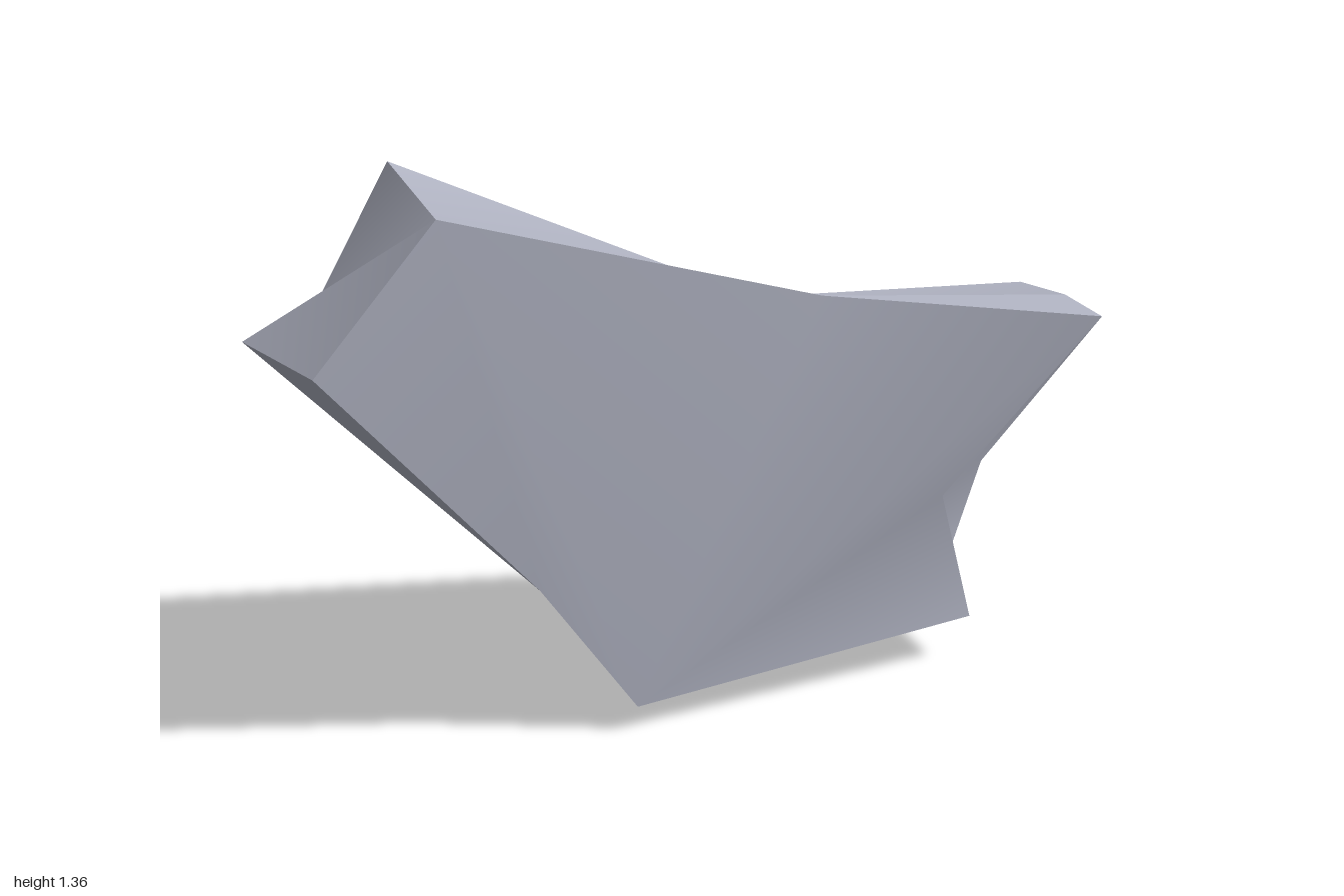
import * as THREE from 'three';

// Corners of the boulder: lower case is the front rim, upper case the rear rim
const corners = {
  a: [-0.61, 1.355, 0.36], b: [0.32, 1.065, 0.24], c: [1, 0.98, 0.345], d: [0.7, 0.475, 0.15],
  e: [0.79, 0.13, 0.16], f: [-0.14, 0.07, 0.26], g: [-0.38, 0.42, 0.27], h: [-0.89, 1.03, 0.37],
  A: [-0.61, 1.355, -0.185], B: [0.32, 0.925, -0.22], C: [1, 0.945, -0.075], D: [0.915, 0.46, -0.07],
  E: [0.79, 0.13, -0.035], Q: [0.12, 0, -0.155], N: [-0.34, 0.44, -0.07], J: [-0.83, 1.0, -0.12],
  P: [0.13, 0.405, -0.375], // rear bulge
  j: [-1, 1.03, 0.065], // left tip
  m: [1, 0.98, 0.16], // chip on the top right edge
  r: [0.06, 0, 0.065], // foot
};

const stone = new THREE.MeshStandardMaterial({ color: 0xb2b5c4 });
stone.name = 'blueGreyStone';

// One side of the boulder, smooth within itself and sharp against its neighbours
function side(name, triangles) {
  const keys = [...new Set(triangles.replace(/ /g, ''))];
  const geometry = new THREE.BufferGeometry();
  geometry.setAttribute('position', new THREE.Float32BufferAttribute(keys.flatMap((k) => corners[k]), 3));
  geometry.setIndex([...triangles.replace(/ /g, '')].map((k) => keys.indexOf(k)));
  geometry.computeVertexNormals();
  const mesh = new THREE.Mesh(geometry, stone);
  mesh.name = name;
  return mesh;
}

export function createModel() {
  const boulder = new THREE.Group();
  boulder.name = 'boulder';
  boulder.add(
    side('frontFace', 'ahg agf afb bfc fdc fed'),
    side('topFace', 'abB aBA bmB mCB'),
    side('topChip', 'bcm'),
    side('rightEnd', 'cdD deE dED cDm mDC'),
    side('rearFace', 'PAB PBC PCD PDE PEQ PQN PNJ PJA'),
    side('leftEnd', 'aAJ aJj ajh'),
    side('leftUndercut', 'jgh'),
    side('leftUnderside', 'JNj jNg Nfg'),
    side('footSide', 'NQr Nrf'),
    side('frontUnderside', 'fre'),
    side('underside', 'rQE rEe'),
  );
  return boulder;
}
